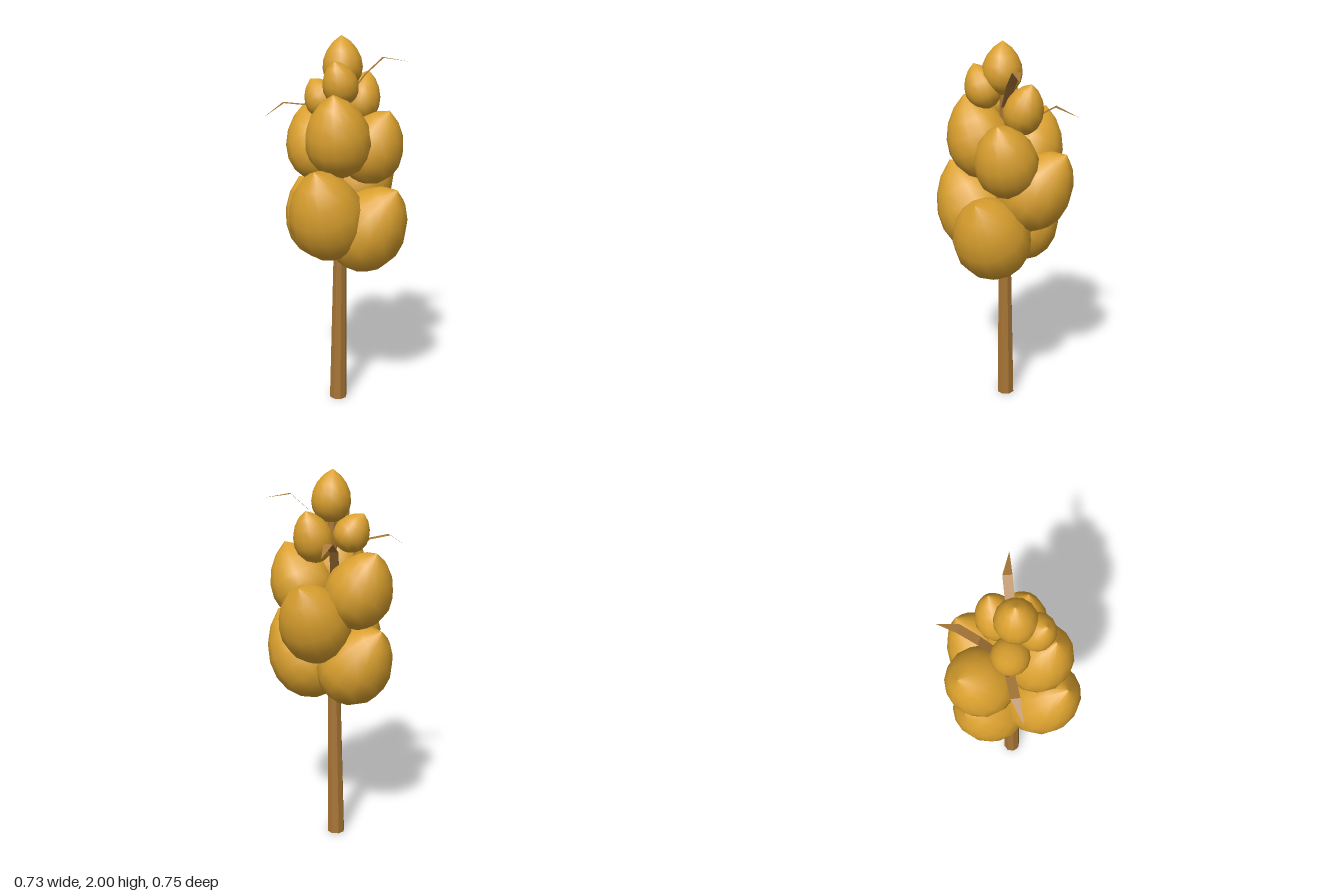
import * as THREE from 'three';

const V = (a) => new THREE.Vector3(...a);
const UP = new THREE.Vector3(0, 1, 0);

// Flat tapering ribbon along a path, ending in a point
function ribbon(path, width) {
  const pts = path.map(V);
  const dir = pts[pts.length - 1].clone().sub(pts[0]);
  const side = new THREE.Vector3().crossVectors(UP, dir).normalize();
  const pos = [];
  const edge = (i, s) => {
    const w = i === pts.length - 1 ? 0 : width / 2;
    return pts[i].clone().addScaledVector(side, s * w).toArray();
  };
  for (let i = 0; i < pts.length - 1; i++) {
    const a = edge(i, -1), b = edge(i, 1), c = edge(i + 1, 1), d = edge(i + 1, -1);
    pos.push(...a, ...b, ...c);
    if (i < pts.length - 2) pos.push(...a, ...c, ...d);
  }
  const geo = new THREE.BufferGeometry();
  geo.setAttribute('position', new THREE.Float32BufferAttribute(pos, 3));
  geo.computeVertexNormals();
  return geo;
}

export function createModel() {
  const model = new THREE.Group();
  model.name = 'grainStalk';

  const gold = new THREE.MeshStandardMaterial({ color: 0xdaa02e });
  gold.name = 'golden grain';
  const brown = new THREE.MeshStandardMaterial({ color: 0xa87635, flatShading: true });
  brown.name = 'dry stalk';
  const husk = new THREE.MeshStandardMaterial({ color: 0xa87838, flatShading: true, side: THREE.DoubleSide });
  husk.name = 'dry husk';

  // Stem: tapered octagon leaning slightly towards the tip
  const stemGeo = new THREE.CylinderGeometry(0.022, 0.048, 1.75, 8);
  stemGeo.translate(0, 0.875, 0);
  const p = stemGeo.attributes.position;
  for (let i = 0; i < p.count; i++) {
    const t = p.getY(i) / 1.75;
    p.setX(i, p.getX(i) - 0.025 * (1 - t));
    p.setZ(i, p.getZ(i) + 0.006);
  }
  stemGeo.computeVertexNormals();
  const stem = new THREE.Mesh(stemGeo, brown);
  stem.name = 'stem';
  model.add(stem);

  // Kernel: round base drawn up to a pointed tip
  const profile = [[0, -1.03], [0.38, -0.95], [0.71, -0.72], [0.92, -0.39], [1, 0],
    [0.94, 0.43], [0.74, 0.86], [0.43, 1.23], [0, 1.52]].map(([x, y]) => new THREE.Vector2(x, y));
  const kernelGeo = new THREE.LatheGeometry(profile, 14);

  // Each kernel: centre, tip, radius
  const kernels = [
    [[0.14, 0.99, 0.01], [0.33, 1.245, 0.02], 0.203],
    [[-0.145, 0.99, -0.04], [-0.32, 1.22, -0.08], 0.193],
    [[0.005, 1.075, 0.16], [0.015, 1.36, 0.31], 0.2],
    [[0.01, 1.225, -0.16], [0.01, 1.46, -0.34], 0.185],
    [[-0.178, 1.39, -0.065], [-0.3, 1.62, -0.11], 0.175],
    [[0.13, 1.405, -0.065], [0.24, 1.63, -0.06], 0.165],
    [[0.042, 1.475, 0.115], [0.06, 1.73, 0.2], 0.17],
    [[0.042, 1.655, -0.115], [0.06, 1.81, -0.17], 0.102],
    [[-0.088, 1.67, 0.042], [-0.155, 1.78, 0.06], 0.094],
    [[0.046, 1.755, 0.098], [0.04, 1.885, 0.155], 0.091],
    [[0.008, 1.84, 0.012], [0, 2, 0.012], 0.103],
  ];
  const head = new THREE.Group();
  head.name = 'grainHead';
  kernels.forEach(([centre, tip, r], i) => {
    const axis = V(tip).sub(V(centre));
    const kernel = new THREE.Mesh(kernelGeo, gold);
    kernel.name = `kernel${i + 1}`;
    kernel.position.set(...centre);
    kernel.scale.set(r, axis.length() / 1.52, r);
    kernel.quaternion.setFromUnitVectors(UP, axis.normalize());
    head.add(kernel);
  });
  model.add(head);

  // Husk leaves arching out between the upper kernels
  const leaves = [
    [[0, 1.65, 0], [0.09, 1.8, -0.07], [0.163, 1.885, -0.13], [0.277, 1.865, -0.192]],
    [[-0.03, 1.42, 0.02], [-0.1, 1.57, 0.055], [-0.165, 1.65, 0.09], [-0.248, 1.665, 0.17], [-0.315, 1.595, 0.257]],
    [[-0.03, 1.42, -0.02], [-0.08, 1.61, -0.135], [-0.1, 1.67, -0.237], [-0.12, 1.62, -0.355]],
  ];
  leaves.forEach((path, i) => {
    const leaf = new THREE.Mesh(ribbon(path, 0.046), husk);
    leaf.name = `huskLeaf${i + 1}`;
    model.add(leaf);
  });

  return model;
}
